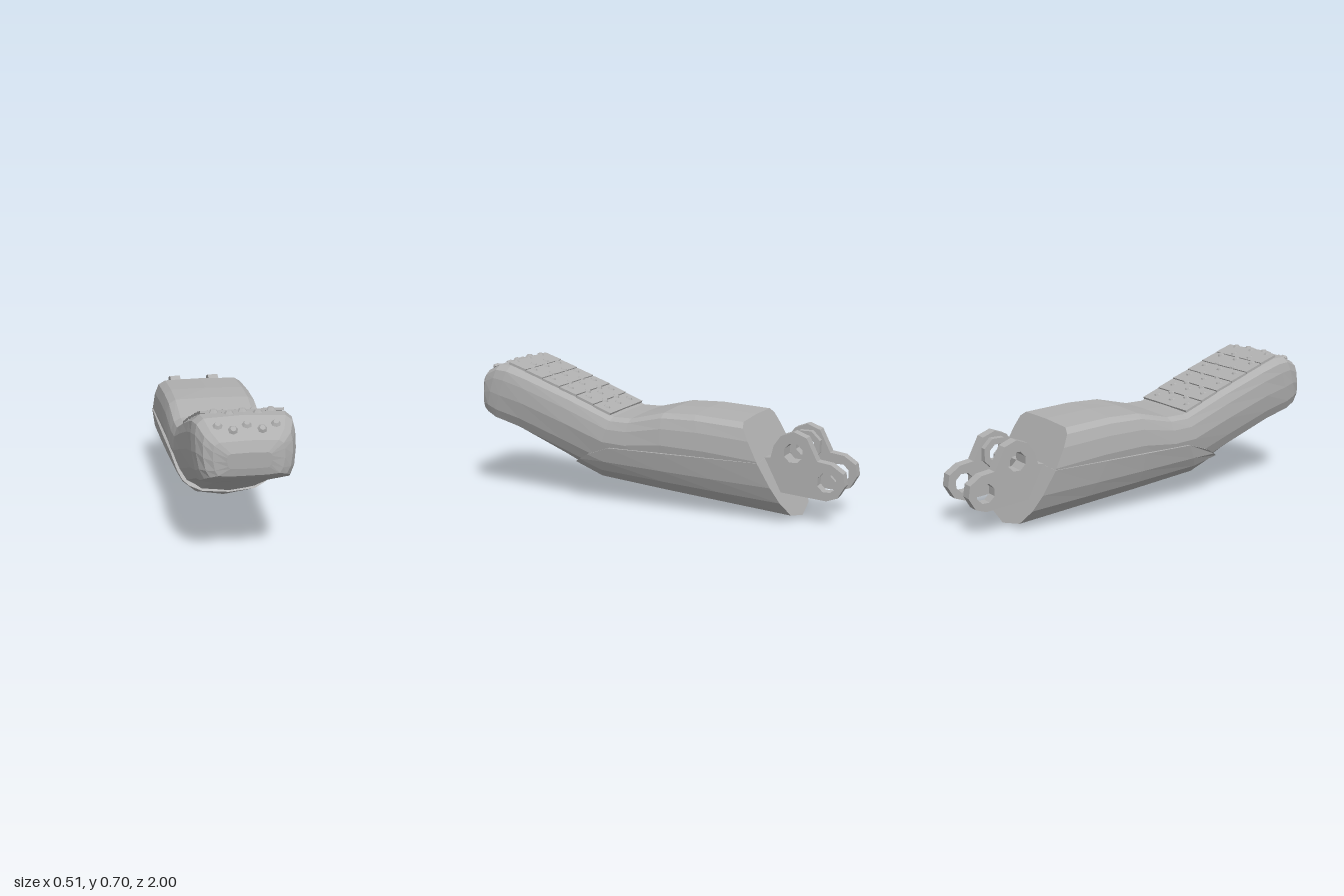
import * as THREE from 'three';

const grey = new THREE.MeshStandardMaterial({ color: 0xb0b0b0, flatShading: true });
grey.name = 'plain grey';

// Half cross-sections as [width fraction, height fraction], bottom centre to top centre
const ROUND = [[0, 0], [0.55, 0.06], [0.8, 0.21], [0.91, 0.37], [1, 0.63], [0.97, 0.82], [0.9, 0.94], [0.76, 0.99], [0, 1]];
const BOXY = [[0, 0], [0.5, 0.0], [0.86, 0.03], [0.95, 0.18], [1, 0.45], [1, 0.72], [0.96, 0.88], [0.82, 0.97], [0, 1]];
const TROUGH = [[0, 0], [0.55, 0.1], [0.8, 0.34], [0.92, 0.6], [1, 1]];

// Stations: top z, top y, bottom z, bottom y, half width, blend from round to boxy
const BODY = [
  [-0.5, 0.49, -0.75, 0.0, 0.252, 0],
  [-0.25, 0.505, -0.42, 0.04, 0.25, 0],
  [-0.08, 0.5, -0.08, 0.072, 0.248, 0],
  [0.1, 0.455, 0.14, 0.094, 0.245, 0],
  [0.2, 0.455, 0.31, 0.113, 0.243, 0],
  [0.43, 0.55, 0.5, 0.205, 0.241, 0.25],
  [0.68, 0.645, 0.75, 0.325, 0.24, 0.6],
  [0.79, 0.685, 0.89, 0.39, 0.236, 1],
  [0.86, 0.685, 0.94, 0.415, 0.225, 1],
  [0.94, 0.645, 0.97, 0.432, 0.2, 1],
  [0.98, 0.605, 0.987, 0.445, 0.16, 1],
  [1.0, 0.555, 0.995, 0.48, 0.1, 1],
];
const SHELL = [
  [-0.597, 0.302, -0.752, 0.0, 0.256, 0],
  [-0.3, 0.302, -0.42, 0.033, 0.256, 0],
  [-0.08, 0.302, -0.08, 0.066, 0.255, 0],
  [0.2, 0.302, 0.3, 0.106, 0.251, 0],
  [0.33, 0.255, 0.46, 0.176, 0.236, 0],
];

// Closed skin through mirrored cross-sections
function loft(stations, half, half2 = half) {
  const lerp = THREE.MathUtils.lerp;
  const rings = stations.map(([zt, yt, zb, yb, w, b]) => {
    const right = half.map((p, i) => {
      const f = lerp(p[0], half2[i][0], b), t = lerp(p[1], half2[i][1], b);
      return new THREE.Vector3(f * w, lerp(yb, yt, t), lerp(zb, zt, t));
    });
    const left = right.filter((p) => p.x > 1e-6).reverse()
      .map((p) => new THREE.Vector3(-p.x, p.y, p.z));
    return [...right, ...left];
  });
  const n = rings[0].length, pos = [], idx = [];
  rings.flat().forEach((p) => pos.push(p.x, p.y, p.z));
  for (let i = 0; i < rings.length - 1; i++) {
    for (let j = 0; j < n; j++) {
      const k = (j + 1) % n, a = i * n + j, b = i * n + k;
      idx.push(a, b, b + n, a, b + n, a + n);
    }
  }
  // end caps
  [0, rings.length - 1].forEach((r, end) => {
    const c = new THREE.Vector3();
    rings[r].forEach((p) => c.addScaledVector(p, 1 / n));
    const ci = pos.length / 3;
    pos.push(c.x, c.y, c.z);
    for (let j = 0; j < n; j++) {
      const a = r * n + j, b = r * n + (j + 1) % n;
      idx.push(ci, end ? a : b, end ? b : a);
    }
  });
  const g = new THREE.BufferGeometry();
  g.setAttribute('position', new THREE.Float32BufferAttribute(pos, 3));
  g.setIndex(idx);
  const flat = g.toNonIndexed();
  flat.computeVertexNormals();
  return flat;
}

// Height and slope of the body's top line at z
function topAt(z) {
  const i = Math.max(1, BODY.findIndex((s) => s[0] >= z));
  const [z0, y0] = BODY[i - 1], [z1, y1] = BODY[i];
  const slope = (y1 - y0) / (z1 - z0);
  return { y: y0 + slope * (z - z0), tilt: -Math.atan(slope) };
}

function add(parent, name, geometry) {
  const m = new THREE.Mesh(geometry, grey);
  m.name = name;
  parent.add(m);
  return m;
}

function hole(shape, x, y, r) {
  const path = new THREE.Path();
  for (let i = 0; i <= 8; i++) {
    const a = -(i + 0.5) * Math.PI / 4;
    path[i ? 'lineTo' : 'moveTo'](x + r * Math.cos(a), y + r * Math.sin(a));
  }
  shape.holes.push(path);
}

export function createModel() {
  const group = new THREE.Group();
  group.name = 'jointedFinger';

  add(group, 'fingerBody', loft(BODY, ROUND, BOXY));
  add(group, 'lowerShell', loft(SHELL, TROUGH));

  // Grip pad: overlapping thin strips across the fingertip
  const pad = new THREE.Group();
  pad.name = 'gripPad';
  group.add(pad);
  for (let i = 0; i < 6; i++) {
    const z = 0.265 + i * 0.098, t = topAt(z);
    const strip = add(pad, 'padStrip', new THREE.BoxGeometry(0.38, 0.012, 0.102));
    strip.position.set(0, t.y, z);
    strip.rotation.x = t.tilt + 0.03;
  }

  // Grip studs in alternating rows of three and two
  const stud = new THREE.CylinderGeometry(0.013, 0.023, 0.013, 7);
  const addStud = (x, z) => {
    const t = topAt(z);
    const m = add(pad, 'gripStud', stud);
    m.position.set(x, t.y + 0.007, z);
    m.rotation.x = t.tilt;
  };
  [0.265, 0.37, 0.475, 0.58, 0.69, 0.8, 0.92].forEach((z) => [-0.13, 0, 0.13].forEach((x) => addStud(x, z)));
  [0.31, 0.41, 0.515, 0.62, 0.73, 0.83, 0.945].forEach((z) => [-0.065, 0.065].forEach((x) => addStud(x, z)));

  // Hinge plates with two pin holes; shape x runs towards the back
  const plate = new THREE.Shape([
    [0.55, 0.14], [0.68, 0.14], [0.91, 0.12], [0.965, 0.14], [1.0, 0.2], [0.99, 0.26], [0.93, 0.3],
    [0.86, 0.31], [0.83, 0.37], [0.805, 0.42], [0.74, 0.445], [0.675, 0.42], [0.64, 0.37], [0.625, 0.31], [0.55, 0.3],
  ].map(([x, y]) => new THREE.Vector2(x, y)));
  hole(plate, 0.74, 0.34, 0.05);
  hole(plate, 0.91, 0.21, 0.05);
  const plateGeo = new THREE.ExtrudeGeometry(plate, { depth: 0.056, bevelEnabled: false });

  // Inner boss around the upper pin hole
  const ring = new THREE.Shape();
  for (let i = 0; i < 8; i++) {
    const a = (i + 0.5) * Math.PI / 4;
    ring[i ? 'lineTo' : 'moveTo'](0.74 + 0.082 * Math.cos(a), 0.34 + 0.082 * Math.sin(a));
  }
  ring.closePath();
  hole(ring, 0.74, 0.34, 0.05);
  const ringGeo = new THREE.ExtrudeGeometry(ring, { depth: 0.035, bevelEnabled: false });

  for (const s of [-1, 1]) {
    const p = add(group, s > 0 ? 'leftHingePlate' : 'rightHingePlate', plateGeo);
    p.rotation.y = Math.PI / 2;
    p.position.x = s > 0 ? 0.08 : -0.136;
    const b = add(group, s > 0 ? 'leftHingeBoss' : 'rightHingeBoss', ringGeo);
    b.rotation.y = Math.PI / 2;
    b.position.x = s > 0 ? 0.046 : -0.081;
  }

  // Cross bar joining the plates at the rear face
  add(group, 'hingeBar', new THREE.BoxGeometry(0.2, 0.1, 0.1)).position.set(0, 0.25, -0.61);

  return group;
}
